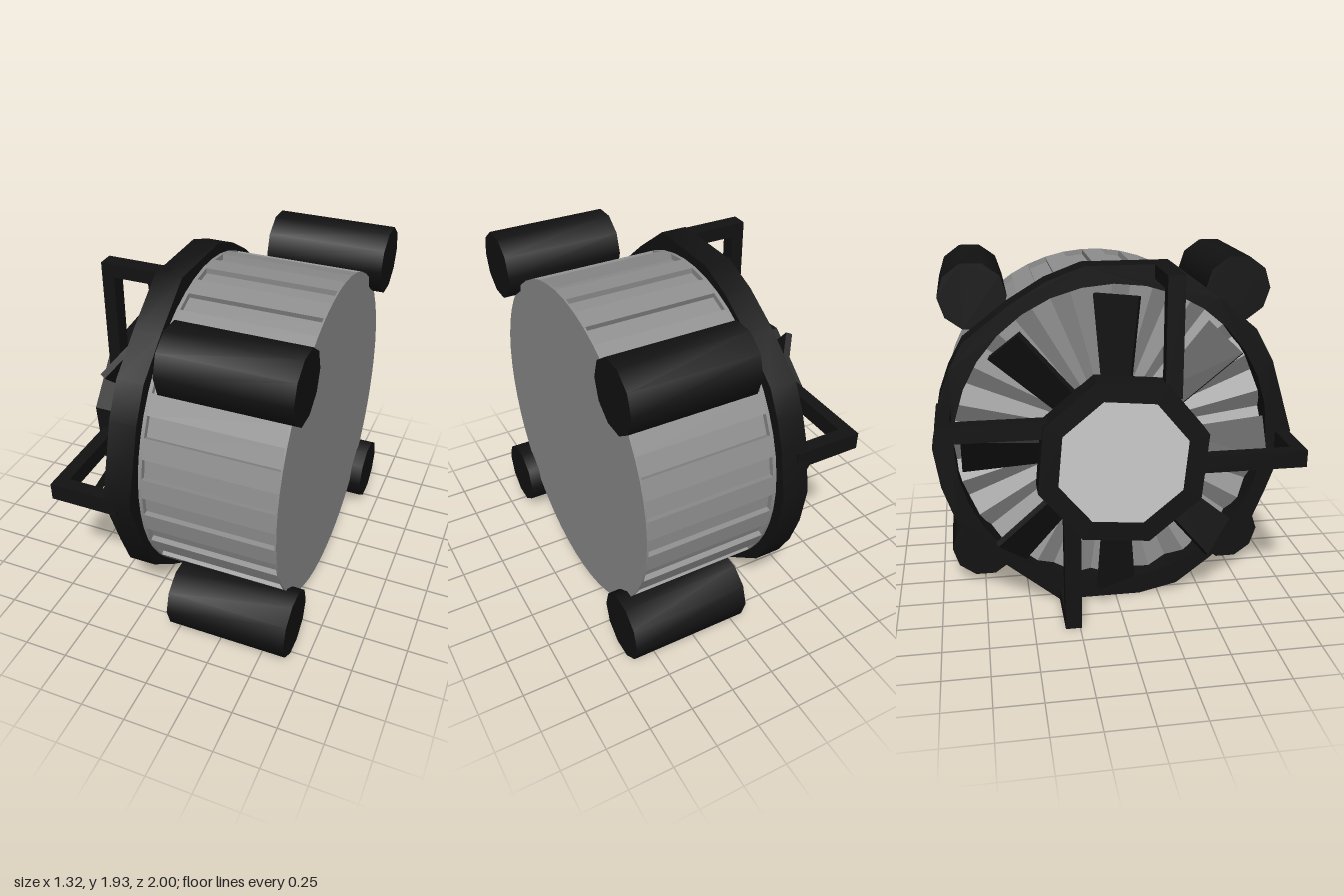
import * as THREE from 'three';
import { toCreasedNormals } from 'three/addons/utils/BufferGeometryUtils.js';

const CY = 0.97, CZ = -0.015; // axis of the turbine, running along x
const grey = new THREE.MeshStandardMaterial({ color: 0x8e8e8e, side: THREE.DoubleSide });
const lightGrey = new THREE.MeshStandardMaterial({ color: 0xcccccc });
const black = new THREE.MeshStandardMaterial({ color: 0x121212 });

// Regular polygon outline as [z, y] points
function polygon(r, n, phase = 0, z = CZ, y = CY) {
  return Array.from({ length: n }, (_, i) => {
    const a = phase + (i * 2 * Math.PI) / n;
    return [z + r * Math.cos(a), y + r * Math.sin(a)];
  });
}

// Solid running along x from x0 to x1 with a [z, y] outline and optional hole
function prism(name, outline, x0, x1, material, hole) {
  const toVec = ([z, y]) => new THREE.Vector2(-z, y);
  const shape = new THREE.Shape(outline.map(toVec));
  if (hole) shape.holes.push(new THREE.Path(hole.map(toVec).reverse()));
  const geo = new THREE.ExtrudeGeometry(shape, { depth: x1 - x0, bevelEnabled: false });
  geo.rotateY(Math.PI / 2).translate(x0, 0, 0);
  const mesh = new THREE.Mesh(toCreasedNormals(geo, 0.7), material);
  mesh.name = name;
  return mesh;
}

function box(name, x0, x1, y0, y1, z0, z1) {
  const geo = new THREE.BoxGeometry(x1 - x0, y1 - y0, z1 - z0);
  geo.translate((x0 + x1) / 2, (y0 + y1) / 2, (z0 + z1) / 2);
  const mesh = new THREE.Mesh(geo, black);
  mesh.name = name;
  return mesh;
}

// Drum wall with 25 recessed slots between two plain rims
function createDrum() {
  const drum = new THREE.Group();
  drum.name = 'drum';
  const R = 0.915, slots = 25, step = Math.PI / slots, outline = [];
  for (let i = 0; i < slots; i++) {
    const a = -0.066 - step / 2 + i * 2 * step;
    for (const [r, t] of [[R, 0], [R - 0.03, 0], [R - 0.03, step], [R, step]]) {
      outline.push([CZ + r * Math.cos(a + t), CY + r * Math.sin(a + t)]);
    }
  }
  const rim = polygon(R, 2 * slots, -0.066 - step / 2);
  drum.add(
    prism('slottedWall', outline, -0.14, 0.58, grey),
    prism('endCap', rim, 0.58, 0.59, grey),
    prism('rearRim', rim, -0.16, -0.14, grey),
  );
  return drum;
}

// Pleated disc of radial vanes behind the fan
function createVanes() {
  const rim = polygon(0.89, 48), pos = [];
  const x = (i) => (i % 2 ? -0.17 : -0.23);
  rim.forEach(([z, y], i) => {
    const [z2, y2] = rim[(i + 1) % 48];
    pos.push(-0.18, CY, CZ, x(i), y, z, x(i + 1), y2, z2);
  });
  const geo = new THREE.BufferGeometry();
  geo.setAttribute('position', new THREE.Float32BufferAttribute(pos, 3));
  geo.computeVertexNormals();
  const mesh = new THREE.Mesh(geo, grey);
  mesh.name = 'statorVanes';
  return mesh;
}

// Fan with eight pitched blades, narrower at the root, on a broad hub
function createFan() {
  const fan = new THREE.Group();
  fan.name = 'fan';
  const geo = new THREE.BoxGeometry(0.035, 0.53, 0.25);
  const p = geo.attributes.position;
  for (let i = 0; i < p.count; i++) {
    if (p.getY(i) < 0) p.setZ(i, p.getZ(i) * 0.6);
  }
  geo.rotateY(-0.52).translate(0, 0.565, 0);
  geo.computeVertexNormals();
  for (let i = 0; i < 8; i++) {
    const blade = new THREE.Mesh(geo, black);
    blade.name = 'blade';
    blade.rotation.x = (i * Math.PI) / 4;
    blade.position.set(-0.4, CY, CZ);
    fan.add(blade);
  }
  fan.add(prism('fanHub', polygon(0.385, 16), -0.475, -0.325, black));
  return fan;
}

export function createModel() {
  const model = new THREE.Group();
  model.name = 'turbine';
  model.add(createDrum(), createVanes(), createFan());

  // Irregular hoop around the open end of the drum
  const hoop = [
    [0.30, 1.935], [-0.17, 1.935], [-0.37, 1.86], [-0.57, 1.74], [-0.81, 1.555],
    [-0.89, 1.41], [-0.945, 1.26], [-1.0, 0.98], [-0.965, 0.75], [-0.9, 0.56],
    [-0.81, 0.40], [-0.57, 0.2], [-0.33, 0], [0.14, 0], [0.36, 0.05],
    [0.555, 0.2], [0.785, 0.40], [0.87, 0.61], [1.0, 0.97], [0.87, 1.39],
    [0.77, 1.57], [0.56, 1.745],
  ];
  model.add(prism('hoop', hoop, -0.31, -0.16, black, polygon(0.87, 32)));

  // Rear hub: black octagonal collar around a grey plate
  model.add(
    prism('hubCollar', polygon(0.47, 8, 0.3), -0.66, -0.52, black, polygon(0.36, 8, 0.3)),
    prism('hubPlate', polygon(0.362, 8, 0.3), -0.65, -0.53, lightGrey),
  );

  // Four bent arms joining hub and hoop: a leg along the hub plane and a bar to the hoop
  const legX = [-0.63, -0.56], barX = [-0.63, -0.25];
  model.add(
    box('topArmLeg', ...legX, 1.3, 1.935, 0.2, 0.29),
    box('topArmBar', ...barX, 1.86, 1.935, 0.2, 0.29),
    box('bottomArmLeg', ...legX, 0, 0.64, -0.33, -0.24),
    box('bottomArmBar', ...barX, 0, 0.075, -0.33, -0.24),
    box('frontArmLeg', ...legX, 0.88, 0.975, 0.38, 0.985),
    box('frontArmBar', ...barX, 0.88, 0.975, 0.91, 0.985),
    box('backArmLeg', ...legX, 1.12, 1.215, -0.965, -0.4),
    box('backArmBar', ...barX, 1.12, 1.215, -0.965, -0.89),
  );

  // Four ten-sided pods at the corners
  for (const z of [0.743, -0.747]) {
    for (const y of [1.735, 0.223]) {
      model.add(prism('pod', polygon(0.189, 10, 0, z, y), -0.02, 0.66, black));
    }
  }
  return model;
}
